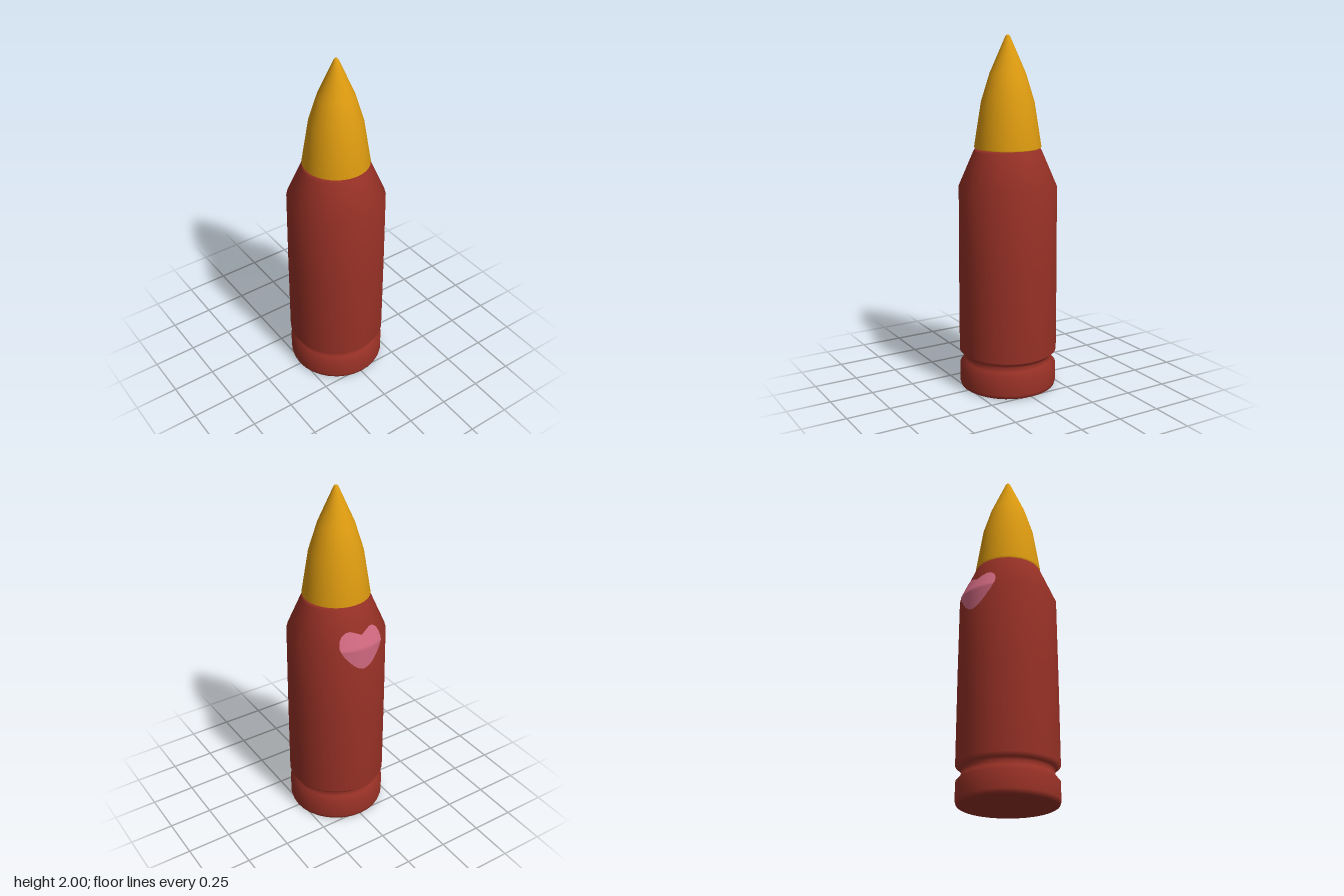
import * as THREE from 'three';

const caseRed = new THREE.MeshStandardMaterial({ name: 'case red', color: 0x983126 });
const tipGold = new THREE.MeshStandardMaterial({ name: 'tip gold', color: 0xdf9c10 });
const heartPink = new THREE.MeshStandardMaterial({ name: 'heart pink', color: 0xcf687f });

const SIDES = 32;

function lathe(name, profile, material) {
  const points = profile.map(([r, y]) => new THREE.Vector2(r, y));
  const mesh = new THREE.Mesh(new THREE.LatheGeometry(points, SIDES), material);
  mesh.name = name;
  return mesh;
}

// Casing radius at a height in the region of the heart
function caseRadius(y) {
  return y < 1.17 ? 0.277 : THREE.MathUtils.mapLinear(y, 1.17, 1.37, 0.277, 0.19);
}

// Piecewise linear lookup through [x, y] pairs
function lookup(table, x) {
  for (let i = 1; i < table.length; i++) {
    const [x0, y0] = table[i - 1];
    const [x1, y1] = table[i];
    if (x <= x1) return THREE.MathUtils.mapLinear(x, x0, x1, y0, y1);
  }
  return table[table.length - 1][1];
}

// Heart skin wrapped over the back of the casing and its shoulder
function makeHeart() {
  const top = [[0, 1.24], [0.03, 1.255], [0.06, 1.267], [0.085, 1.265], [0.11, 1.247], [0.125, 1.222], [0.133, 1.185]];
  const bottom = [[0, 1.045], [0.03, 1.053], [0.06, 1.075], [0.09, 1.108], [0.115, 1.142], [0.127, 1.165], [0.133, 1.185]];
  const columns = 48, rows = 24, half = 0.133;
  const positions = [], index = [];
  for (let i = 0; i <= columns; i++) {
    const x = half * Math.sin((i / columns - 0.5) * Math.PI);
    const low = lookup(bottom, Math.abs(x));
    const high = lookup(top, Math.abs(x));
    for (let j = 0; j <= rows; j++) {
      const y = THREE.MathUtils.lerp(low, high, j / rows);
      const r = caseRadius(y) + 0.003;
      positions.push(x, y, -Math.sqrt(r * r - x * x));
      if (i < columns && j < rows) {
        const a = i * (rows + 1) + j, b = a + rows + 1;
        index.push(a, a + 1, b, b, a + 1, b + 1);
      }
    }
  }
  const geometry = new THREE.BufferGeometry();
  geometry.setAttribute('position', new THREE.Float32BufferAttribute(positions, 3));
  geometry.setIndex(index);
  geometry.computeVertexNormals();
  const mesh = new THREE.Mesh(geometry, heartPink);
  mesh.name = 'heart';
  return mesh;
}

export function createModel() {
  const model = new THREE.Group();
  model.name = 'cartridge';

  // Casing: flat base, rim, extractor groove, long body and sloped shoulder
  model.add(lathe('casing', [
    [0, 0], [0.262, 0], [0.272, 0.006], [0.278, 0.025], [0.278, 0.125],
    [0.252, 0.155], [0.248, 0.18], [0.255, 0.195], [0.28, 0.215],
    [0.279, 0.73], [0.276, 1.17], [0.19, 1.37], [0.18, 1.383], [0, 1.383],
  ], caseRed));

  // Pointed tip with a small chamfer where it meets the neck
  model.add(lathe('tip', [
    [0.165, 1.375], [0.188, 1.39], [0.148, 1.64], [0.1, 1.795], [0.013, 1.993], [0.007, 2], [0, 2],
  ], tipGold));

  model.add(makeHeart());
  return model;
}
